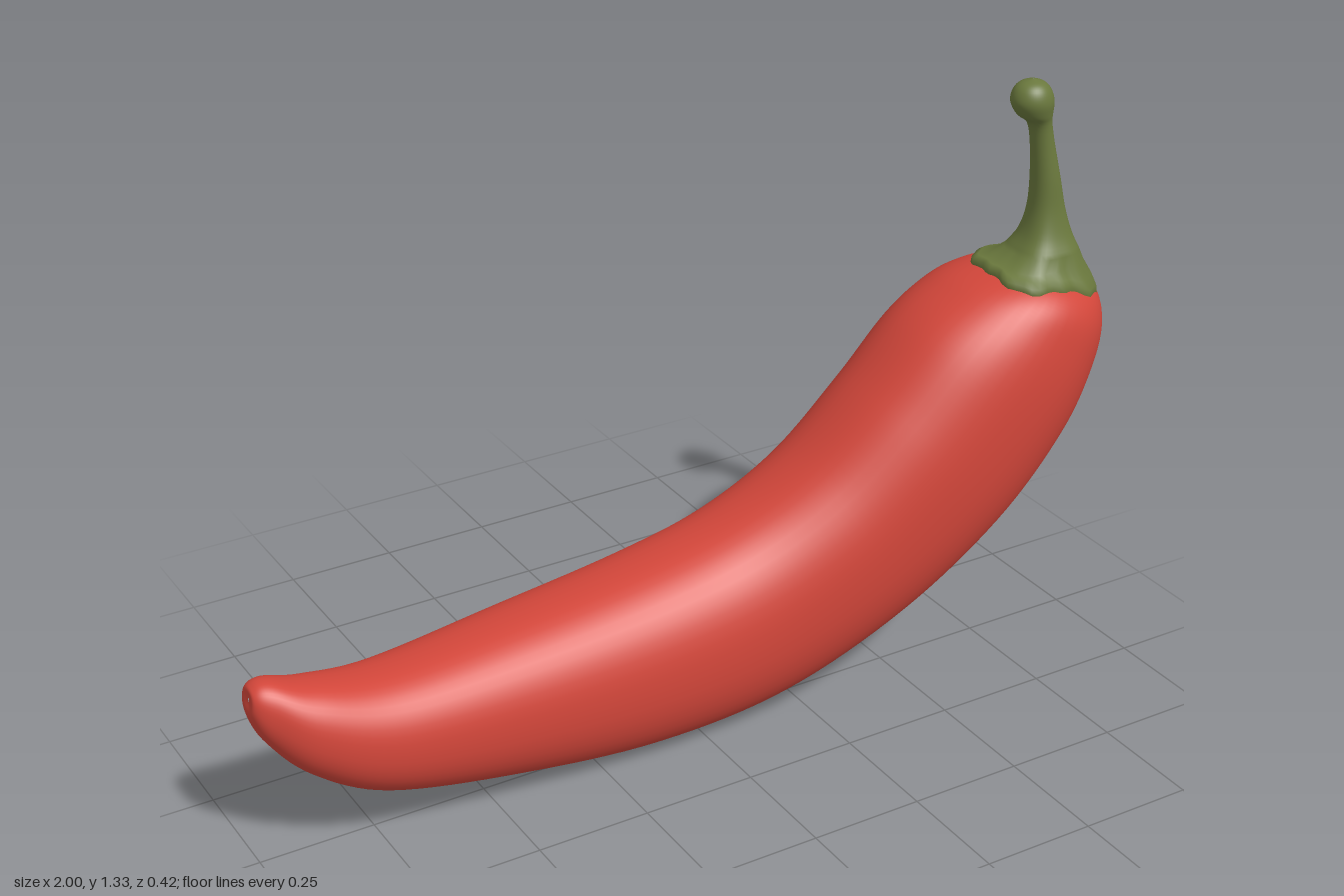
import * as THREE from 'three';

const SIDES = 48;

// Skins closed rings (arrays of Vector3, counter-clockwise about the path) into a smooth surface
function loft(rings) {
  const pos = [], index = [], n = rings[0].length;
  rings.forEach(r => r.forEach(p => pos.push(p.x, p.y, p.z)));
  for (let i = 0; i < rings.length - 1; i++) {
    for (let j = 0; j < n; j++) {
      const k = (j + 1) % n;
      const a = i * n + j, b = i * n + k, c = a + n, d = b + n;
      index.push(a, b, c, b, d, c);
    }
  }
  const g = new THREE.BufferGeometry();
  g.setAttribute('position', new THREE.Float32BufferAttribute(pos, 3));
  g.setIndex(index);
  g.computeVertexNormals();
  return g;
}

const ring = f => Array.from({ length: SIDES }, (_, j) => f(j / SIDES * Math.PI * 2));
const soft = (v, n) => Math.sign(v) * Math.abs(v) ** (2 / n);

// Fruit: inner-curve point, outer-curve point, back z, front z
const SECTIONS = [
  [-0.995, 0.395, -0.995, 0.385, 0.005, 0.01],
  [-0.99, 0.415, -0.998, 0.35, -0.03, 0.035],
  [-0.955, 0.422, -0.97, 0.285, -0.053, 0.06],
  [-0.87, 0.395, -0.89, 0.195, -0.085, 0.1],
  [-0.70, 0.367, -0.74, 0.108, -0.13, 0.128],
  [-0.40, 0.385, -0.45, 0.04, -0.18, 0.14],
  [-0.10, 0.42, -0.12, 0.002, -0.205, 0.15],
  [0.10, 0.468, 0.20, 0.03, -0.21, 0.158],
  [0.27, 0.56, 0.50, 0.155, -0.207, 0.18],
  [0.42, 0.70, 0.74, 0.325, -0.206, 0.2],
  [0.54, 0.82, 0.90, 0.505, -0.205, 0.205],
  [0.64, 0.88, 0.975, 0.655, -0.192, 0.195],
  [0.72, 0.905, 0.998, 0.77, -0.155, 0.172],
  [0.79, 0.912, 0.98, 0.85, -0.09, 0.115],
  [0.88, 0.9, 0.89, 0.896, 0.01, 0.02],
];

function fruitGeometry() {
  const curve = f => new THREE.CatmullRomCurve3(SECTIONS.map(f), false, 'catmullrom', 0.5);
  const inner = curve(s => new THREE.Vector3(s[0], s[1], s[4]));
  const outer = curve(s => new THREE.Vector3(s[2], s[3], s[5]));
  const rings = [], steps = 112;
  for (let i = 0; i <= steps; i++) {
    const u = inner.getPoint(i / steps), l = outer.getPoint(i / steps);
    rings.push(ring(a => {
      const c = soft(Math.cos(a), 2.25), s = soft(Math.sin(a), 2.25);
      return new THREE.Vector3(
        (u.x + l.x) / 2 + c * (u.x - l.x) / 2,
        (u.y + l.y) / 2 + c * (u.y - l.y) / 2,
        (u.z + l.z) / 2 + s * (l.z - u.z) / 2);
    }));
  }
  return loft(rings);
}

// Stem: centre x, y, z, half width in x, half width in z
const STEM = [
  [0.855, 0.945, 0.037, 0.078, 0.076],
  [0.858, 0.985, 0.04, 0.056, 0.054],
  [0.856, 1.04, 0.041, 0.04, 0.04],
  [0.848, 1.11, 0.042, 0.031, 0.034],
  [0.835, 1.19, 0.041, 0.025, 0.028],
  [0.825, 1.235, 0.04, 0.026, 0.029],
  [0.811, 1.257, 0.04, 0.039, 0.037],
  [0.803, 1.285, 0.04, 0.047, 0.044],
  [0.801, 1.31, 0.04, 0.041, 0.039],
  [0.801, 1.326, 0.04, 0.026, 0.025],
  [0.802, 1.334, 0.04, 0.001, 0.001],
];

function stemGeometry(fruit) {
  const ray = new THREE.Raycaster(), down = new THREE.Vector3(0, -1, 0);
  const surfaceY = (x, z) => {
    ray.set(new THREE.Vector3(x, 2, z), down);
    const hit = ray.intersectObject(fruit)[0];
    return Math.max(hit ? hit.point.y : 0, 0.83);
  };
  // Squarish scalloped cap rings that rest on the fruit
  const capRing = (size, lift, minY) => ring(a => {
    const wave = 1.03 - 0.085 * Math.cos(4 * a) * size + 0.03 * Math.cos(12 * a + 0.6) * size;
    const x = 0.847 + 0.126 * size * wave * Math.cos(a);
    const z = 0.028 + 0.008 * (1 - size) - 0.116 * size * wave * Math.sin(a);
    return new THREE.Vector3(x, Math.max(minY, surfaceY(x, z) + lift), z);
  });
  const rings = [
    capRing(0.96, -0.025, 0),
    capRing(1.0, 0.0, 0),
    capRing(0.99, 0.013, 0),
    capRing(0.9, 0.018, 0.885),
    capRing(0.76, 0.015, 0.918),
  ];
  // Smooth stalk ending in a rounded knob
  const curve = f => new THREE.CatmullRomCurve3(STEM.map(f), false, 'catmullrom', 0.5);
  const centre = curve(s => new THREE.Vector3(s[0], s[1], s[2]));
  const width = curve(s => new THREE.Vector3(s[3], s[4], 0));
  const steps = 40;
  for (let i = 0; i <= steps; i++) {
    const c = centre.getPoint(i / steps), w = width.getPoint(i / steps);
    const ridge = 0.05 * Math.max(0, 1 - i / 16);
    rings.push(ring(a => {
      const k = 1 - ridge * Math.cos(4 * a);
      return new THREE.Vector3(c.x + w.x * k * Math.cos(a), c.y, c.z - w.y * k * Math.sin(a));
    }));
  }
  return loft(rings);
}

export function createModel() {
  const red = new THREE.MeshStandardMaterial({ color: 0xd2463a });
  red.name = 'pepper red';
  const green = new THREE.MeshStandardMaterial({ color: 0x6a783d });
  green.name = 'stem green';

  const fruit = new THREE.Mesh(fruitGeometry(), red);
  fruit.name = 'fruit';
  const stem = new THREE.Mesh(stemGeometry(fruit), green);
  stem.name = 'stem';

  const model = new THREE.Group();
  model.name = 'chili pepper';
  model.add(fruit, stem);
  return model;
}
